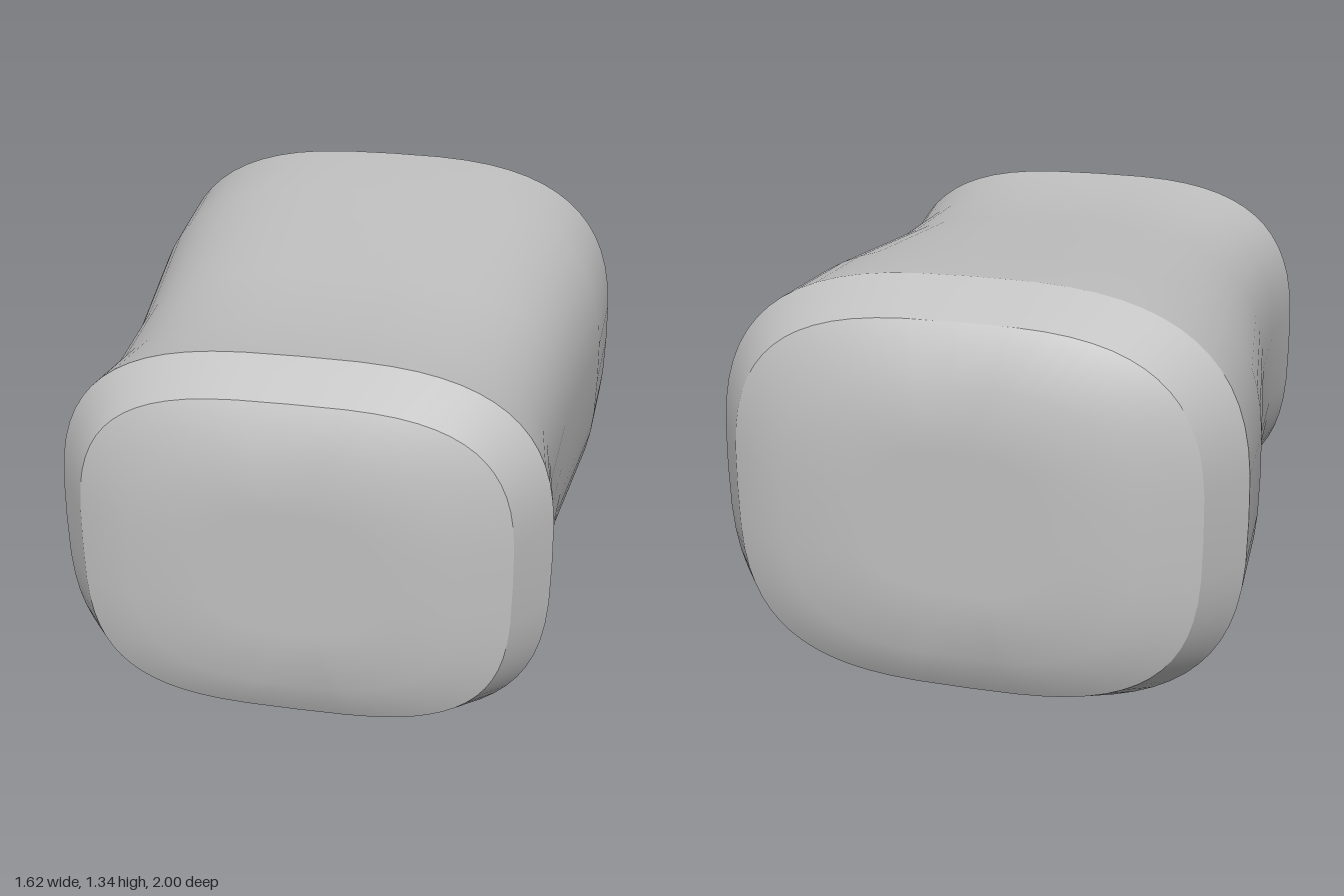
import * as THREE from 'three';

const SIDES = 64;

// Rounded-rectangle rings: [z, half width, bottom y, top y, squareness]
const front = [0.94, 0.64, 0.145, 1.2, 3.3];
const frontRim = [0.8, 0.74, 0.065, 1.28, 3.1];
const backRim = [-0.76, 0.81, 0.003, 1.34, 2.95];
const back = [-0.92, 0.705, 0.09, 1.255, 3.1];

const PARTS = {
  frontCap: [[1, 0, 0.67, 0.67, 3], [1, 0.25, 0.47, 0.87, 3], [1, 0.48, 0.28, 1.06, 3], front],
  frontBevel: [front, frontRim],
  body: [
    frontRim,
    [0.55, 0.71, 0.087, 1.255, 3.1],
    [0.17, 0.725, 0.08, 1.264, 3.05],
    [-0.42, 0.798, 0.022, 1.322, 2.95],
    backRim,
  ],
  backBevel: [backRim, back],
  backCap: [back, [-1, 0.53, 0.24, 1.1, 3], [-1, 0.27, 0.45, 0.89, 3], [-1, 0, 0.67, 0.67, 3]],
};

// Skin a list of rings running from front to back, smooth within the part
function loft(rings) {
  const position = [];
  const index = [];
  const bend = (v, n) => Math.sign(v) * Math.abs(v) ** (2 / n);
  rings.forEach(([z, w, y0, y1, n], i) => {
    for (let j = 0; j < SIDES; j++) {
      const t = (j / SIDES) * Math.PI * 2;
      position.push(w * bend(Math.cos(t), n), (y0 + y1) / 2 + ((y1 - y0) / 2) * bend(Math.sin(t), n), z);
      if (i === rings.length - 1) continue;
      const k = (j + 1) % SIDES;
      const a = i * SIDES + j, b = i * SIDES + k;
      const c = a + SIDES, d = b + SIDES;
      if (w > 0) index.push(a, c, b);
      if (rings[i + 1][1] > 0) index.push(b, c, d);
    }
  });
  const geometry = new THREE.BufferGeometry();
  geometry.setAttribute('position', new THREE.Float32BufferAttribute(position, 3));
  geometry.setIndex(index);
  geometry.computeVertexNormals();
  return geometry;
}

export function createModel() {
  const group = new THREE.Group();
  group.name = 'waistedBlock';
  const grey = new THREE.MeshStandardMaterial({ color: 0xc0c0c0 });
  grey.name = 'light grey';
  // Separate parts keep the rim edges sharp
  for (const [name, rings] of Object.entries(PARTS)) {
    const mesh = new THREE.Mesh(loft(rings), grey);
    mesh.name = name;
    group.add(mesh);
  }
  return group;
}
